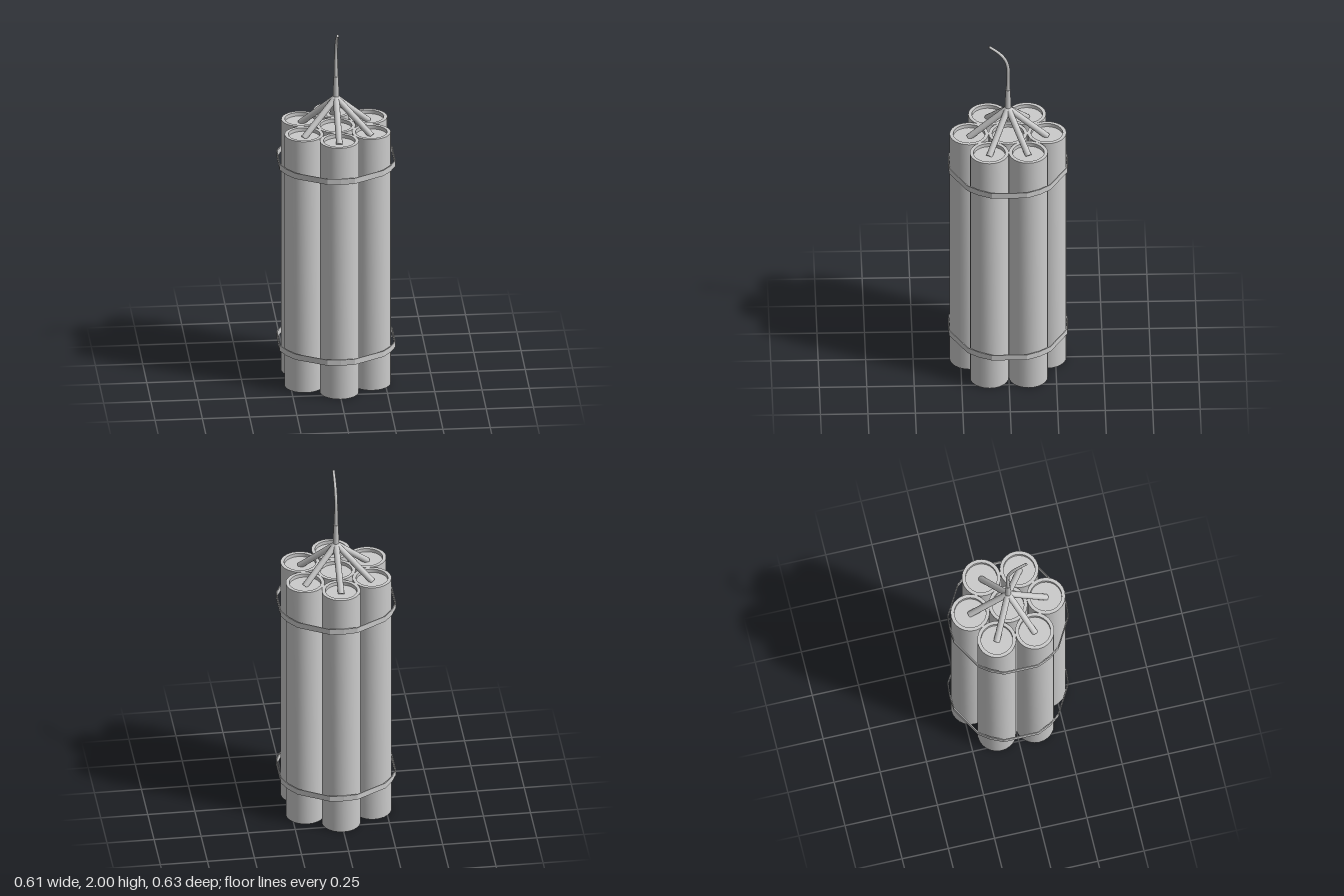
import * as THREE from 'three';
import { toCreasedNormals } from 'three/addons/utils/BufferGeometryUtils.js';

const R = 0.103, RING = 0.205, HEIGHT = 1.44, RECESS = 0.02;
const v2 = (x, y) => new THREE.Vector2(x, y);
const v3 = (x, y, z) => new THREE.Vector3(x, y, z);

export function createModel() {
  const model = new THREE.Group();
  const mat = new THREE.MeshStandardMaterial({ color: 0xcccccc });
  const add = (name, geometry) => {
    const mesh = new THREE.Mesh(geometry, mat);
    mesh.name = name;
    model.add(mesh);
    return mesh;
  };

  // Straight tapered rod between two points
  const rod = (name, a, b, ra, rb) => {
    const d = b.clone().sub(a);
    const mesh = add(name, new THREE.CylinderGeometry(rb, ra, d.length(), 12));
    mesh.position.copy(a).addScaledVector(d, 0.5);
    mesh.quaternion.setFromUnitVectors(v3(0, 1, 0), d.normalize());
  };

  // Tube with a recessed cap at both ends
  const inner = 0.084;
  const tubeGeo = toCreasedNormals(new THREE.LatheGeometry([
    v2(0, RECESS), v2(inner, RECESS), v2(inner, 0), v2(R, 0),
    v2(R, HEIGHT), v2(inner, HEIGHT), v2(inner, HEIGHT - RECESS), v2(0, HEIGHT - RECESS),
  ], 24), 0.6);
  add('centreTube', tubeGeo);

  // Six outer tubes, each with a fuse running to the central knot
  for (let i = 0; i < 6; i++) {
    const a = Math.PI / 2 + i * Math.PI / 3;
    const c = Math.cos(a), s = Math.sin(a);
    add('outerTube', tubeGeo).position.set(c * RING, 0, s * RING);
    rod('branchFuse', v3(c * 0.207, HEIGHT - RECESS - 0.003, s * 0.207), v3(0, 1.6, 0), 0.017, 0.017);
  }

  // Main fuse: thick lower sleeve, thinner upper cord that bends forward
  rod('fuseSleeve', v3(0, 1.585, 0), v3(0, 1.72, 0), 0.017, 0.013);
  const path = [[1.71, 0], [1.86, 0], [1.91, 0.015], [1.955, 0.05], [1.995, 0.1]].map(([y, z]) => v3(0, y, z));
  const curve = new THREE.CatmullRomCurve3(path);
  const steps = 16, sides = 10;
  const cord = new THREE.TubeGeometry(curve, steps, 0.0105, sides);
  // Taper the cord towards its tip
  const pos = cord.attributes.position, p = v3(0, 0, 0);
  for (let i = 0; i < pos.count; i++) {
    const t = Math.floor(i / (sides + 1)) / steps;
    const centre = curve.getPointAt(t);
    p.fromBufferAttribute(pos, i).sub(centre).multiplyScalar(1 - 0.3 * t).add(centre);
    pos.setXYZ(i, p.x, p.y, p.z);
  }
  add('fuseCord', cord);
  const tip = add('fuseTip', new THREE.CircleGeometry(0.0074, sides));
  tip.position.copy(curve.getPointAt(1));
  tip.quaternion.setFromUnitVectors(v3(0, 0, 1), curve.getTangentAt(1));

  // Faceted straps: one quarter outline mirrored round the bundle
  const quarter = [[0.307, 0.093], [0.276, 0.162], [0.233, 0.219], [0.073, 0.311]];
  const outline = [
    ...quarter, [0, 0.317],
    ...[...quarter].reverse().map(([x, y]) => [-x, y]),
    ...quarter.map(([x, y]) => [-x, -y]), [0, -0.317],
    ...[...quarter].reverse().map(([x, y]) => [x, -y]),
  ];
  const shape = new THREE.Shape(outline.map(([x, y]) => v2(x, y)));
  shape.holes.push(new THREE.Path(outline.map(([x, y]) => v2(x * 0.984, y * 0.984))));
  const strapGeo = new THREE.ExtrudeGeometry(shape, { depth: 0.032, bevelEnabled: false });
  strapGeo.rotateX(-Math.PI / 2);
  for (const [name, y] of [['lowerStrap', 0.197], ['upperStrap', 1.235]]) add(name, strapGeo).position.y = y;

  return model;
}
